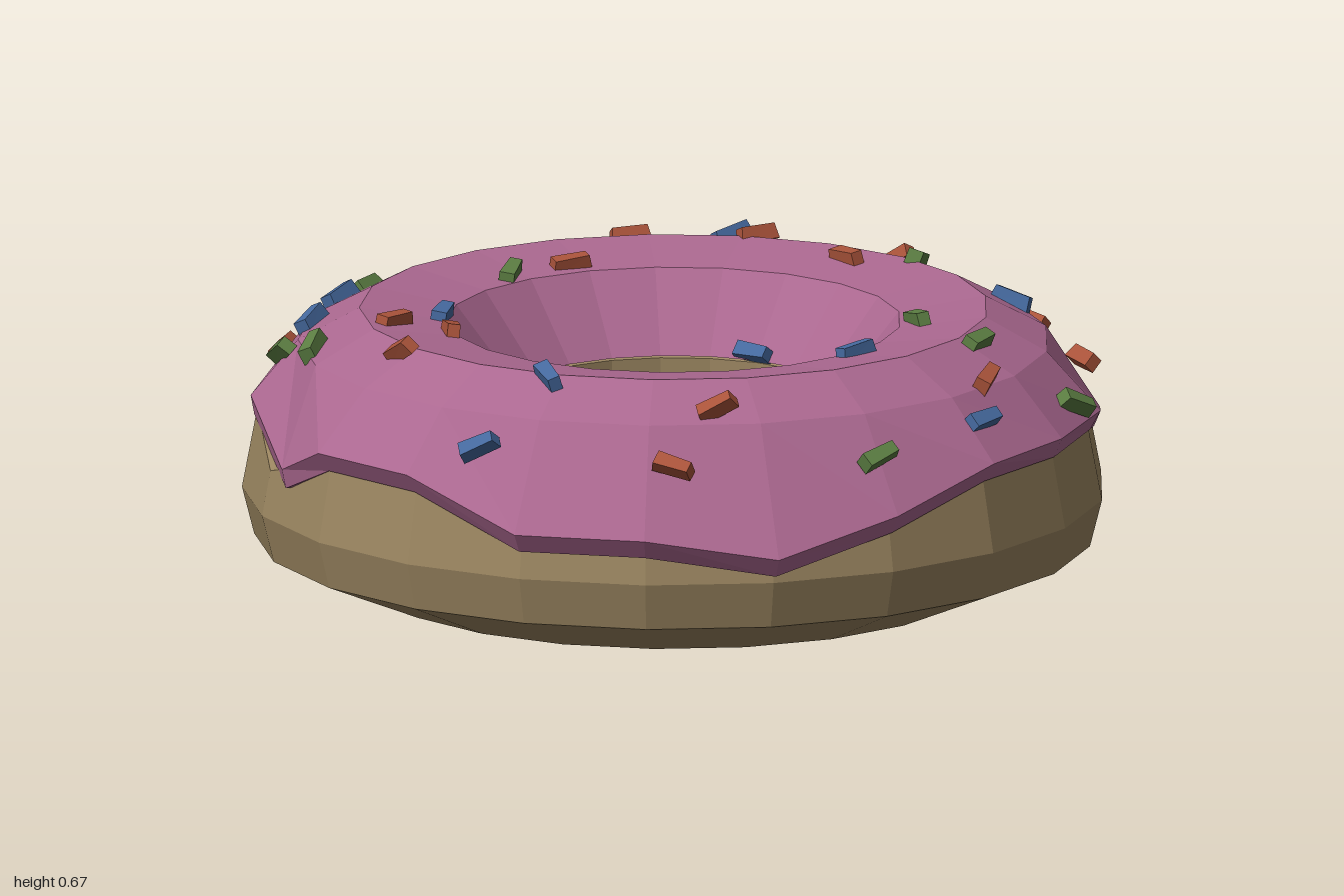
import * as THREE from 'three';

const SIDES = 21, CZ = -0.025, STEP = Math.PI * 2 / SIDES;
const mat = (name, color) => {
  const m = new THREE.MeshStandardMaterial({ color });
  m.name = name;
  return m;
};

// Closed ring swept around the hole; rowsAt(k) gives its section as [radius, y, angle nudge]
function ringGeometry(rowsAt) {
  const pos = [], sections = [];
  for (let k = 0; k < SIDES; k++) {
    sections.push(rowsAt(k).map(([r, y, nudge = 0]) => {
      const a = (k + nudge) * STEP;
      return [r * Math.sin(a), y, r * Math.cos(a) + CZ];
    }));
  }
  for (let k = 0; k < SIDES; k++) {
    const s = sections[k], t = sections[(k + 1) % SIDES], n = s.length;
    for (let i = 0; i < n; i++) {
      const j = (i + 1) % n;
      pos.push(...s[i], ...s[j], ...t[j], ...s[i], ...t[j], ...t[i]);
    }
  }
  const g = new THREE.BufferGeometry();
  g.setAttribute('position', new THREE.Float32BufferAttribute(pos, 3));
  g.computeVertexNormals();
  return g;
}

// Wavy lower edge of the icing, one value per side starting at the front
const LIP_Y = [.325, .28, .35, .425, .425, .425, .365, .35, .335, .425, .43,
  .47, .45, .44, .345, .335, .43, .35, .425, .425, .325];
const LIP_R = [1.02, 1.04, 1.01, .99, .98, .985, .985, .985, .99, .985, .985,
  .94, .968, .985, .988, .985, .968, .985, .99, .99, 1.02];
const LIP_THICK = .045;
const ICING = [[.38, .43], [.52, .605], [.72, .635], [.86, .56]];
const doughRadius = y => .988 - (y - .215) * .19;

// Height and slope of the regular icing section at a point seen from above
function icingAt(x, z) {
  const r = Math.hypot(x, z - CZ), a = Math.atan2(x, z - CZ);
  const profile = [...ICING, [.985, .43]];
  let i = 0;
  while (i < profile.length - 2 && r > profile[i + 1][0]) i++;
  const [r0, y0] = profile[i], [r1, y1] = profile[i + 1];
  const slope = (y1 - y0) / (r1 - r0);
  const normal = new THREE.Vector3(-slope * Math.sin(a), 1, -slope * Math.cos(a)).normalize();
  return { y: y0 + (r - r0) * slope, normal };
}

// Sprinkles: x, z, heading in degrees, optional tilt out of the icing in degrees
const BLUE = [[.1, -.94, 50], [-.43, -.83, 60], [.08, -.78, 25, 30], [-.78, -.3, 50], [-.83, -.07, 60],
  [-.53, -.01, 80], [.16, -.38, -30], [.75, -.33, -15], [.44, .31, 40], [.74, .51, 55],
  [-.24, .67, -65], [-.39, .81, 5]];
const ORANGE = [[-.15, -.76, 15], [.14, -.75, 25, 20], [.46, -.72, -50, 30], [.66, -.67, -20, 25], [.78, -.53, -45],
  [.91, -.38, -60], [.36, -.56, -50], [-.27, -.51, 25], [-.91, -.38, 65], [-.63, .14, 50],
  [-.5, .15, -80], [-.59, .43, -40, 25], [.74, .38, 80], [.15, .78, 15, 30], [.06, .91, -20]];
const GREEN = [[-.73, -.49, 60], [-.4, -.41, 80], [-.89, .03, -55], [-.81, .18, 70], [-.31, .24, -30],
  [.52, -.55, 80], [.56, -.01, -65], [.71, .22, 65], [.93, .17, 35], [.52, .76, 50]];

export function createModel() {
  const model = new THREE.Group();
  model.name = 'donut';
  const add = (name, geometry, material, parent = model) => {
    const m = new THREE.Mesh(geometry, material);
    m.name = name;
    parent.add(m);
    return m;
  };

  // Dough ring, its shoulder tucked under the icing edge
  add('dough', ringGeometry(k => {
    const y = Math.min(.42, LIP_Y[k] - LIP_THICK + .015);
    return [[.51, .03], [.38, .205], [.382, .425], [.44, .45],
      [.7, .45], [doughRadius(y), y], [.988, .215], [.96, .105], [.71, 0]];
  }), mat('dough tan', 0x9a8560));

  // Icing shell with a thick uneven lip that slants in towards the dough
  add('icing', ringGeometry(k => {
    const nudge = k === 17 ? .4 : 0, r = LIP_R[k], y = LIP_Y[k], low = y - LIP_THICK;
    const lowR = Math.min(r, Math.max(doughRadius(low) + .004, r - .03));
    return [[.42, .44], ...ICING, [r, y, nudge], [lowR, low, nudge], [.92, low, nudge]];
  }), mat('icing pink', 0xab6890));

  // Sprinkles: small tapered bars lying on the icing
  const bar = new THREE.BoxGeometry(.095, .036, .036).toNonIndexed();
  const p = bar.attributes.position;
  for (let i = 0; i < p.count; i++) {
    if (p.getX(i) > 0) p.setZ(i, p.getZ(i) * .8);
    if (p.getY(i) > 0) p.setX(i, p.getX(i) * .88);
  }
  bar.computeVertexNormals();
  const up = new THREE.Vector3(0, 1, 0);
  const sprinkles = new THREE.Group();
  sprinkles.name = 'sprinkles';
  model.add(sprinkles);
  const scatter = (name, list, material) => {
    for (const [x, z, heading, tilt = 6] of list) {
      const { y, normal } = icingAt(x, z);
      const s = add(name, bar, material, sprinkles);
      s.position.set(x, y, z).addScaledVector(normal, .006 + tilt * .0003);
      s.quaternion.setFromUnitVectors(up, normal);
      s.rotateY(THREE.MathUtils.degToRad(heading));
      s.rotateZ(THREE.MathUtils.degToRad(tilt));
    }
  };
  scatter('blueSprinkle', BLUE, mat('sprinkle blue', 0x45699e));
  scatter('orangeSprinkle', ORANGE, mat('sprinkle orange', 0xa9533a));
  scatter('greenSprinkle', GREEN, mat('sprinkle green', 0x5b7d42));
  return model;
}
